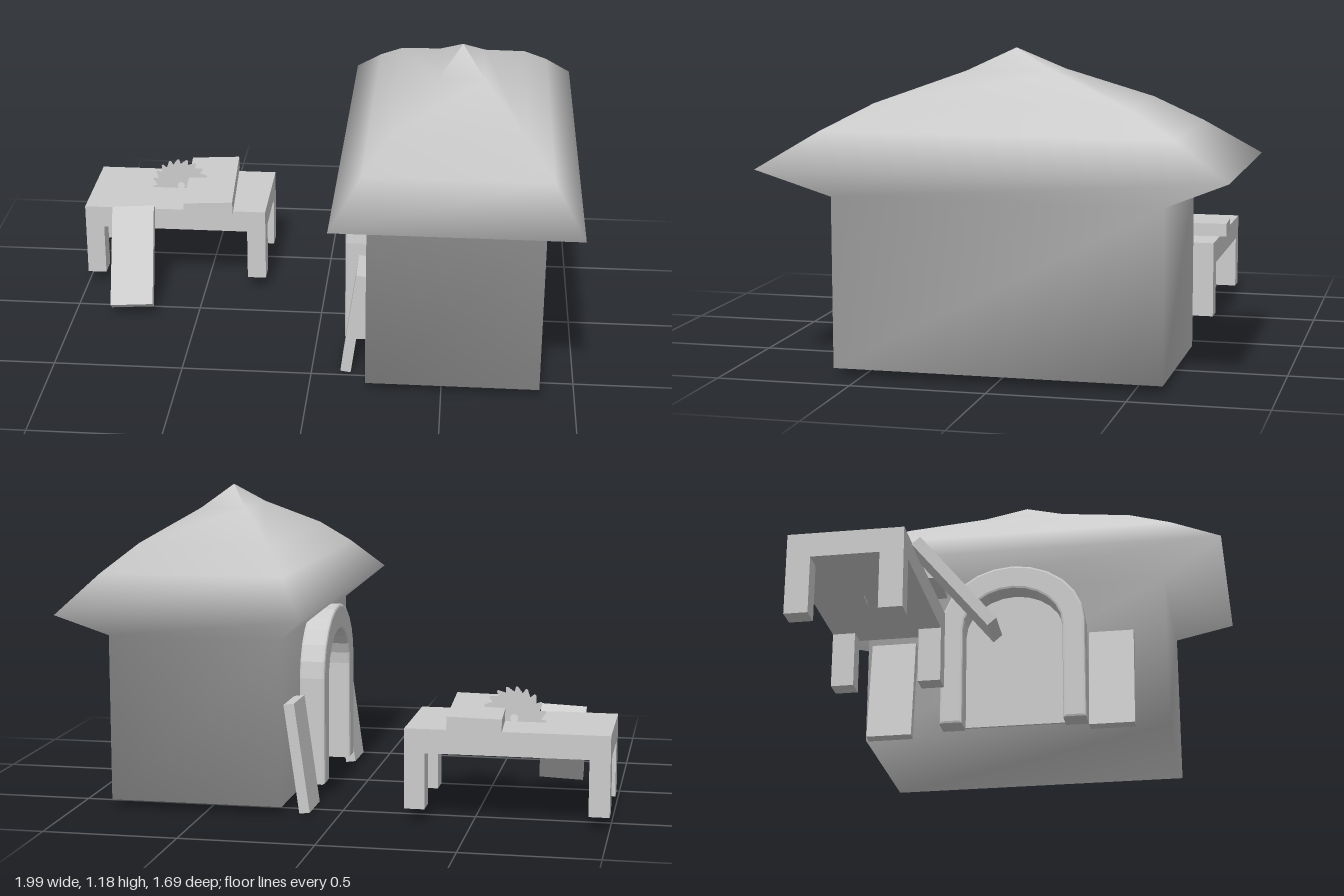
import * as THREE from 'three';

const mat = new THREE.MeshStandardMaterial({ color: 0xcccccc, side: THREE.DoubleSide });

function add(parent, name, geometry, x = 0, y = 0, z = 0) {
  const mesh = new THREE.Mesh(geometry, mat);
  mesh.name = name;
  mesh.position.set(x, y, z);
  parent.add(mesh);
  return mesh;
}

// Smooth body lofted from rectangular rings [halfX, halfZ, y]
function loftRings(rings) {
  const pos = [], idx = [];
  for (const [hx, hz, y] of rings) pos.push(-hx, y, hz, hx, y, hz, hx, y, -hz, -hx, y, -hz);
  for (let r = 0; r < rings.length - 1; r++) {
    for (let i = 0; i < 4; i++) {
      const a = r * 4 + i, b = r * 4 + (i + 1) % 4;
      idx.push(a, b, b + 4, a, b + 4, a + 4);
    }
  }
  idx.push(0, 2, 1, 0, 3, 2);
  const geo = new THREE.BufferGeometry();
  geo.setAttribute('position', new THREE.Float32BufferAttribute(pos, 3));
  geo.setIndex(idx);
  geo.computeVertexNormals();
  return geo;
}

// Door outline: straight jambs topped by a half ellipse
function archOutline(path, half, base, spring, top) {
  path.moveTo(-half, base);
  path.lineTo(half, base);
  path.lineTo(half, spring);
  for (let i = 1; i <= 12; i++) {
    const a = (i / 12) * Math.PI;
    path.lineTo(half * Math.cos(a), spring + (top - spring) * Math.sin(a));
  }
  path.closePath();
  return path;
}

// Circular blade with slanted teeth and a centre hole
function bladeShape(teeth, inner, outer) {
  const shape = new THREE.Shape();
  for (let i = 0; i < teeth; i++) {
    const a = (i / teeth) * Math.PI * 2, step = (Math.PI * 2) / teeth;
    const p = [[a, inner], [a + step * 0.15, outer], [a + step * 0.35, outer]];
    p.forEach(([t, r], k) => {
      const x = r * Math.cos(t), y = r * Math.sin(t);
      if (i === 0 && k === 0) shape.moveTo(x, y);
      else shape.lineTo(x, y);
    });
  }
  shape.closePath();
  shape.holes.push(new THREE.Path().absarc(0, 0, 0.015, 0, Math.PI * 2, true));
  return shape;
}

export function createModel() {
  const model = new THREE.Group();

  // House: walls flaring into a curved, pointed roof
  const house = new THREE.Group();
  house.name = 'house';
  model.add(house);
  add(house, 'wallsAndRoof', loftRings([
    [0.328, 0.605, 0.03], [0.328, 0.605, 0.658], [0.453, 0.845, 0.765],
    [0.345, 0.64, 0.895], [0.248, 0.465, 0.99], [0.088, 0.165, 1.1], [0.001, 0.002, 1.18],
  ]), 0.541, 0, 0);

  // Thick door arch on the side wall, with the door inside it
  const archShape = archOutline(new THREE.Shape(), 0.28, 0.055, 0.46, 0.7);
  const opening = archOutline(new THREE.Path(), 0.21, 0.03, 0.44, 0.62);
  const frame = new THREE.Shape();
  const outer = archShape.getPoints().slice(1, -2), inside = opening.getPoints().slice(1, -2);
  outer.push(new THREE.Vector2(-0.28, 0.46), new THREE.Vector2(-0.28, 0.055));
  inside.push(new THREE.Vector2(-0.21, 0.44), new THREE.Vector2(-0.21, 0.055));
  inside[0].y = 0.055;
  frame.setFromPoints([...outer, ...inside.reverse()]);
  const arch = add(house, 'doorArch', new THREE.ExtrudeGeometry(frame, {
    depth: 0.08, bevelEnabled: true, bevelThickness: 0.01, bevelSize: 0.01, bevelSegments: 2,
  }), 0.205, 0, 0);
  arch.rotation.y = -Math.PI / 2;
  const door = add(house, 'door', new THREE.ExtrudeGeometry(
    archOutline(new THREE.Shape(), 0.22, 0.055, 0.44, 0.63), { depth: 0.01, bevelEnabled: false }), 0.213, 0, 0);
  door.rotation.y = -Math.PI / 2;

  // Boards leaning beside the door
  for (const z of [0.39, -0.49]) {
    const board = add(model, 'wallBoard', new THREE.BoxGeometry(0.04, 0.415, 0.178), 0.16, 0.21, z);
    board.rotation.z = -0.14;
  }

  // Work table
  const table = new THREE.Group();
  table.name = 'workTable';
  model.add(table);
  add(table, 'tableTop', new THREE.BoxGeometry(0.75, 0.09, 0.415), -0.625, 0.305, -0.408);
  for (const sx of [-1, 1]) {
    for (const sz of [-1, 1]) {
      add(table, 'tableLeg', new THREE.BoxGeometry(0.076, 0.22, 0.085),
        -0.625 + sx * 0.337, 0.16, -0.408 + sz * 0.165);
    }
  }

  // Plank on the table, blade through it, board leaning on its edge
  const plank = add(model, 'plank', new THREE.BoxGeometry(0.2, 0.052, 0.478), -0.495, 0.376, -0.4);
  plank.rotation.set(0, 0.06, 0.03);
  add(model, 'sawBlade', new THREE.ShapeGeometry(bladeShape(20, 0.1, 0.12)), -0.63, 0.362, -0.418);
  const leaning = add(model, 'tableBoard', new THREE.BoxGeometry(0.172, 0.415, 0.04), -0.78, 0.2, -0.055);
  leaning.rotation.set(-0.7, 0, 0.065);

  return model;
}
